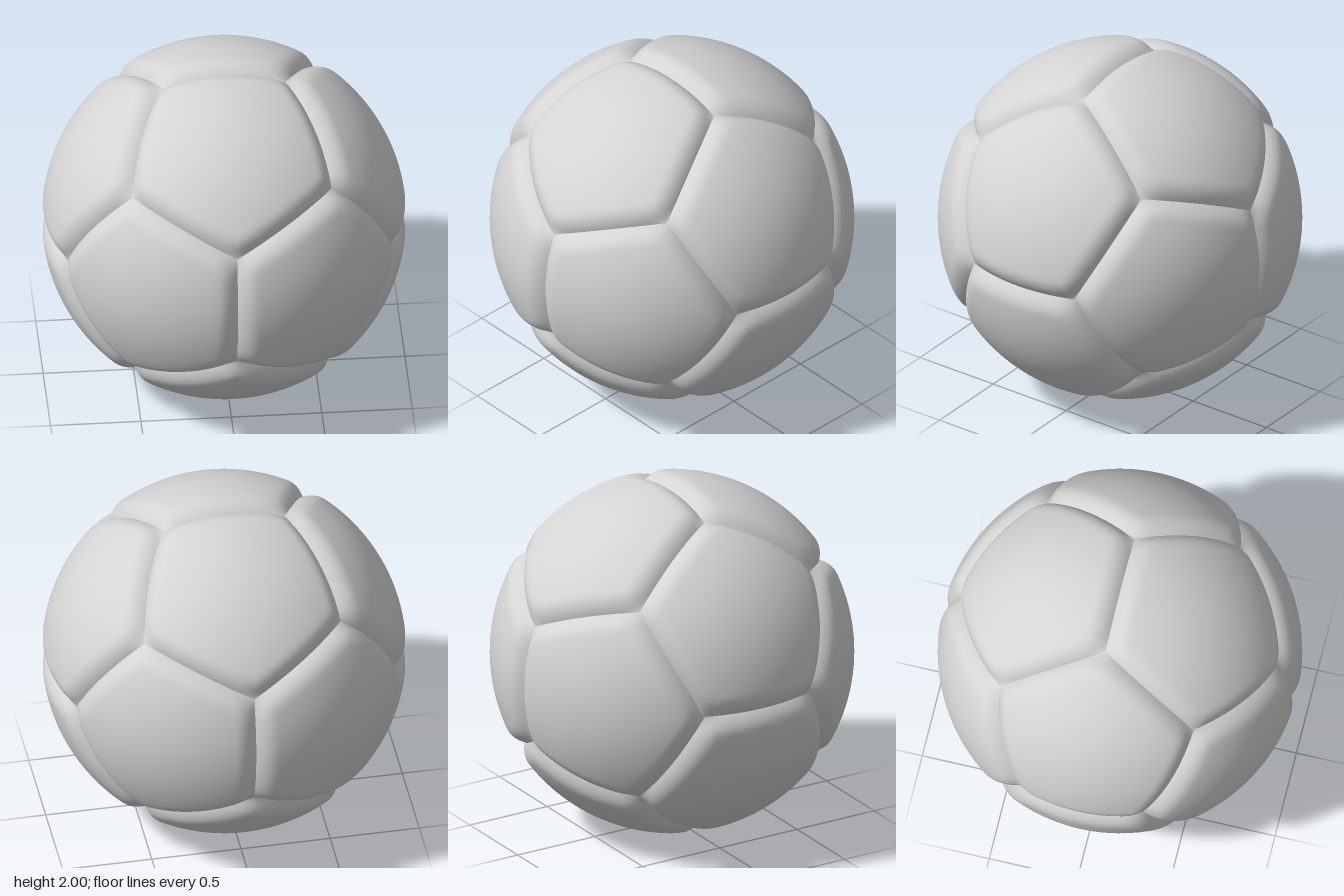
import * as THREE from 'three';

const PHI = (1 + Math.sqrt(5)) / 2;
const SEAM = 0.953;       // radius at the seams
const CROWN = 1.0045;     // radius of the padded panel surface
const BEVEL = 0.115;      // angular width of the rounded panel border
const SIDE_STEPS = 16;
const RINGS = 24;

// One padded spherical pentagon facing +z, with a corner towards +y
function panelGeometry() {
  const tilt = Math.acos(Math.sqrt((5 + 2 * Math.sqrt(5)) / 15));
  const corners = [];
  for (let k = 0; k < 5; k++) {
    const a = Math.PI / 2 + (k * 2 * Math.PI) / 5;
    corners.push(new THREE.Vector3(
      Math.sin(tilt) * Math.cos(a), Math.sin(tilt) * Math.sin(a), Math.cos(tilt)));
  }
  const edgePlanes = corners.map((c, k) => c.clone().cross(corners[(k + 1) % 5]).normalize());

  // Height rises smoothly from every seam to the crown
  const radiusAt = (dir) => {
    let rise = 1;
    for (const plane of edgePlanes) {
      const t = THREE.MathUtils.clamp(Math.asin(dir.dot(plane)) / BEVEL, 0, 1);
      rise *= 1 - (1 - t) ** 2;
    }
    return SEAM + (CROWN - SEAM) * rise;
  };

  const centre = new THREE.Vector3(0, 0, 1);
  const positions = [0, 0, CROWN];
  const index = [];
  const count = 5 * SIDE_STEPS;
  const at = (ring, j) => 1 + (ring - 1) * count + (j % count);

  for (let ring = 1; ring <= RINGS; ring++) {
    const s = 1 - (1 - ring / RINGS) ** 1.6; // rings crowd towards the border
    for (let j = 0; j < count; j++) {
      const k = Math.floor(j / SIDE_STEPS);
      const border = corners[k].clone()
        .lerp(corners[(k + 1) % 5], (j % SIDE_STEPS) / SIDE_STEPS).normalize();
      const dir = centre.clone().lerp(border, s).normalize();
      positions.push(...dir.multiplyScalar(radiusAt(dir)).toArray());
      if (ring === 1) {
        index.push(0, at(1, j), at(1, j + 1));
      } else {
        index.push(at(ring - 1, j), at(ring, j), at(ring, j + 1));
        index.push(at(ring - 1, j), at(ring, j + 1), at(ring - 1, j + 1));
      }
    }
  }

  const geometry = new THREE.BufferGeometry();
  geometry.setAttribute('position', new THREE.Float32BufferAttribute(positions, 3));
  geometry.setIndex(index);
  geometry.computeVertexNormals();
  return geometry;
}

export function createModel() {
  const model = new THREE.Group();
  model.name = 'ball';
  const lightGrey = new THREE.MeshStandardMaterial({ color: 0xd4d4d4 });
  lightGrey.name = 'lightGrey';
  const geometry = panelGeometry();

  // Twelve panels in dodecahedral arrangement
  for (let axis = 0; axis < 3; axis++) {
    for (const a of [1, -1]) {
      for (const b of [1, -1]) {
        const normal = new THREE.Vector3()
          .setComponent(axis, a).setComponent((axis + 2) % 3, b * PHI).normalize();
        const up = new THREE.Vector3().setComponent(axis, a);
        up.addScaledVector(normal, -up.dot(normal)).normalize();
        const side = up.clone().cross(normal);
        const panel = new THREE.Mesh(geometry, lightGrey);
        panel.name = `panel${model.children.length + 1}`;
        panel.quaternion.setFromRotationMatrix(new THREE.Matrix4().makeBasis(side, up, normal));
        panel.position.y = 1;
        model.add(panel);
      }
    }
  }
  return model;
}
